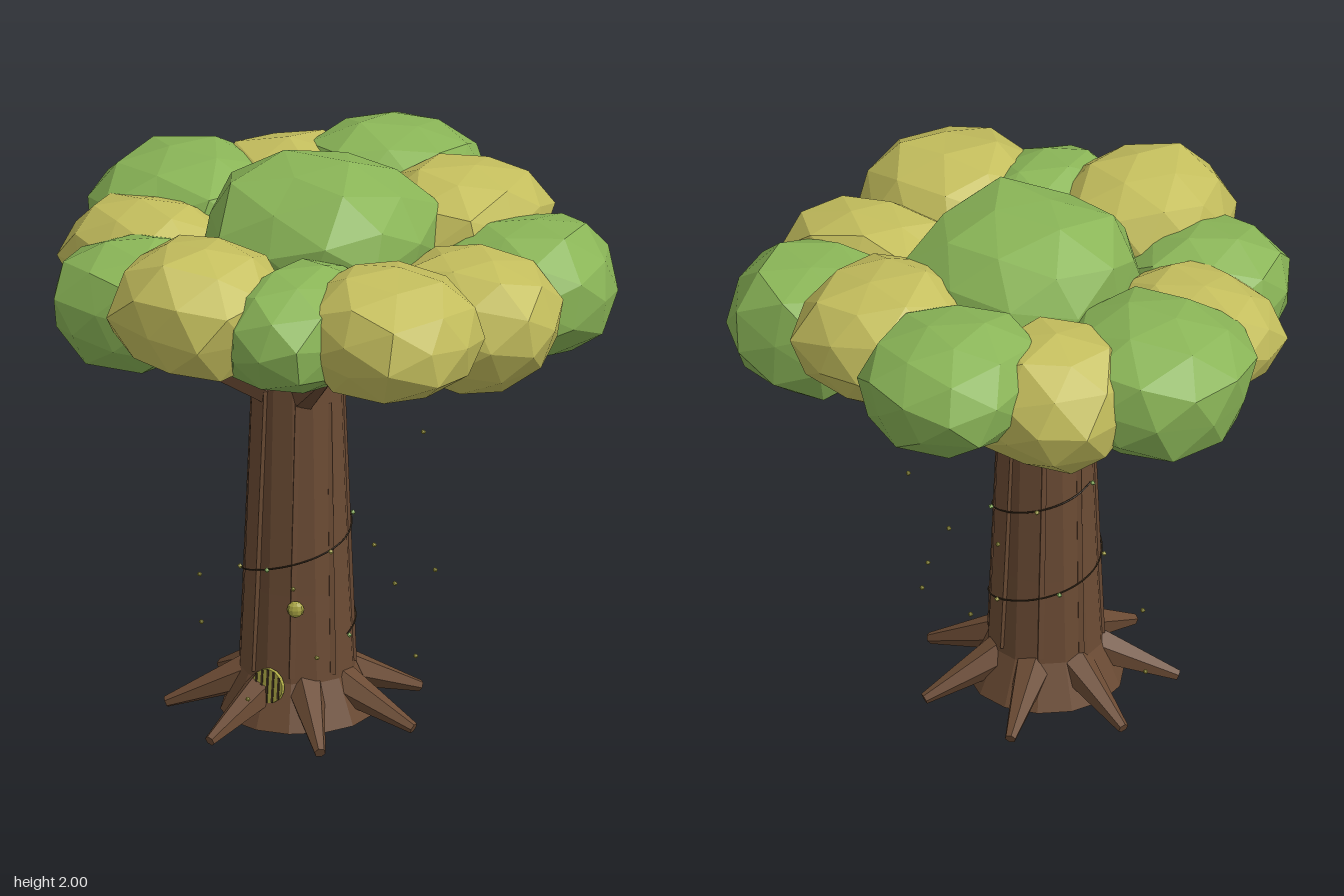
import * as THREE from 'three';

const mat = (name, color) => {
  const m = new THREE.MeshStandardMaterial({ color, flatShading: true });
  m.name = name;
  return m;
};

export function createModel() {
  const bark = mat('bark', 0x6b4b34);
  const vineMat = mat('vine', 0x40311f);
  const green = mat('greenLeaves', 0x8ab557);
  const yellow = mat('yellowLeaves', 0xc4be5d);
  const spot = mat('glowOlive', 0xaaa644);

  const tree = new THREE.Group();
  tree.name = 'tree';
  const V = (x, y, z) => new THREE.Vector3(x, y, z);
  const CX = 0.015, CZ = 0.17; // trunk axis
  const polar = (a, r, y) => V(CX + Math.cos(a) * r, y, CZ + Math.sin(a) * r);

  const add = (name, geometry, material, position) => {
    const mesh = new THREE.Mesh(geometry, material);
    mesh.name = name;
    if (position) mesh.position.copy(position);
    tree.add(mesh);
    return mesh;
  };

  // Tapered limb between two points
  const limb = (name, a, b, ra, rb, sides = 6) => {
    const dir = b.clone().sub(a);
    const mesh = add(name, new THREE.CylinderGeometry(rb, ra, dir.length(), sides), bark,
      a.clone().add(b).multiplyScalar(0.5));
    mesh.quaternion.setFromUnitVectors(V(0, 1, 0), dir.normalize());
  };

  // Trunk with flared foot
  const profile = [[0, 0.02], [0.272, 0.02], [0.203, 0.18], [0.187, 0.5], [0.157, 1.335], [0, 1.335]]
    .map(([r, y]) => new THREE.Vector2(r, y));
  add('trunk', new THREE.LatheGeometry(profile, 14), bark, V(CX, 0, CZ));

  // Raised bark ridges along the trunk
  for (let i = 0; i < 8; i++) {
    const a = (i + 0.3) * Math.PI / 4;
    limb('barkRidge', polar(a + 0.1, 0.194, 0.2), polar(a, 0.155, 1.2 + 0.04 * (i % 3)), 0.014, 0.011, 4);
  }

  // Roots
  for (let i = 0; i < 7; i++) {
    const a = i * Math.PI * 2 / 7 - 0.06;
    limb('root', polar(a, 0.13, 0.16), polar(a, 0.46, 0.024), 0.075, 0.02);
  }

  // Branches reaching into the crown: angle in degrees, end height
  [[-25, 1.51], [47, 1.46], [119, 1.47], [191, 1.41], [263, 1.5]].forEach(([deg, y]) => {
    const a = deg * Math.PI / 180;
    limb('branch', polar(a, 0.07, 1.2), polar(a, 0.54, y), 0.058, 0.024);
  });

  // Vine winding up the trunk
  const vinePoint = t => polar(-t * Math.PI * 3, 0.202 - 0.02 * t, 0.33 + 0.53 * t);
  const vinePath = Array.from({ length: 37 }, (_, i) => vinePoint(i / 36));
  add('vine', new THREE.TubeGeometry(new THREE.CatmullRomCurve3(vinePath), 90, 0.003, 5), vineMat);
  for (let i = 0; i <= 8; i++) {
    const p = vinePoint(i / 8);
    p.x += (p.x - CX) * 0.05;
    p.z += (p.z - CZ) * 0.05;
    add('vineLeaf', new THREE.OctahedronGeometry(0.011), i % 2 ? spot : green, p);
  }

  // Small floating lights
  [[-0.53, 0.32, -0.05], [-0.3, 0.31, 0.3], [0.22, 0.31, 0.37], [0.5, 0.31, 0.17], [0.37, 0.53, 0.1],
    [0.3, 0.68, 0.65], [0.58, 0.65, 0.17], [0.03, 0.78, -0.62], [0, 0.73, -0.17], [0.05, 0.48, -0.27],
    [0.05, 0.18, 0.55]].forEach(p =>
    add('firefly', new THREE.IcosahedronGeometry(0.009), spot, V(...p)));

  // Round knot on the front
  const knot = add('knot', new THREE.SphereGeometry(0.03, 10, 6), spot, V(0.115, 0.46, 0.343));
  knot.scale.z = 0.65;
  knot.rotation.y = 0.5;

  // Striped hollow near the foot
  const hollow = new THREE.Group();
  hollow.name = 'stripedHollow';
  hollow.position.set(0.03, 0.17, 0.385);
  const disc = new THREE.Mesh(new THREE.CylinderGeometry(0.062, 0.062, 0.016, 14), spot);
  disc.name = 'hollowDisc';
  disc.rotation.x = Math.PI / 2;
  hollow.add(disc);
  for (let i = -2; i <= 2; i++) {
    const x = i * 0.023;
    const h = 2 * Math.sqrt(0.06 ** 2 - x * x);
    const stripe = new THREE.Mesh(new THREE.BoxGeometry(0.008, h, 0.006), vineMat);
    stripe.name = 'hollowStripe';
    stripe.position.set(x, 0, 0.008);
    hollow.add(stripe);
  }
  hollow.rotation.x = -0.1;
  tree.add(hollow);

  // Faceted leaf clump: slightly boxy, vertices pushed in or out by a position hash
  const clump = (seed, rx, ry, rz) => {
    const g = new THREE.IcosahedronGeometry(1, 1);
    g.rotateY(seed * 1.7);
    g.rotateX(seed * 0.9);
    const p = g.attributes.position, v = V(0, 0, 0);
    for (let i = 0; i < p.count; i++) {
      v.fromBufferAttribute(p, i);
      const [a, b, c] = [v.x, v.y, v.z].map(n => Math.round(n * 100));
      const h = Math.sin(a * 12.9898 + b * 78.233 + c * 37.719 + seed * 11.3) * 43758.5453;
      const box = (Math.abs(v.x) ** 2.5 + Math.abs(v.y) ** 2.5 + Math.abs(v.z) ** 2.5) ** (-1 / 2.5);
      v.multiplyScalar(box * (0.93 + 0.12 * (h - Math.floor(h))));
      p.setXYZ(i, v.x * rx, v.y * ry, v.z * rz);
    }
    g.computeVertexNormals();
    return g;
  };

  // Crown: centre x, y, z, then radii x, y, z
  const crown = [
    ['green', 0.01, 1.74, 0.01, 0.39, 0.26, 0.39],
    ['green', -0.11, 1.69, -0.64, 0.31, 0.22, 0.32],
    ['green', -0.63, 1.62, -0.15, 0.34, 0.24, 0.35],
    ['green', 0.63, 1.55, -0.35, 0.31, 0.24, 0.31],
    ['green', -0.42, 1.555, 0.52, 0.3, 0.22, 0.29],
    ['green', 0.27, 1.62, 0.54, 0.24, 0.21, 0.33],
    ['yellow', -0.4, 1.61, -0.43, 0.29, 0.24, 0.29],
    ['yellow', 0.27, 1.67, -0.47, 0.3, 0.22, 0.33],
    ['yellow', -0.57, 1.6, 0.22, 0.31, 0.19, 0.25],
    ['yellow', -0.085, 1.655, 0.65, 0.3, 0.24, 0.31],
    ['yellow', 0.63, 1.55, 0.02, 0.33, 0.24, 0.25],
    ['yellow', 0.57, 1.63, 0.44, 0.31, 0.22, 0.31],
  ];
  crown.forEach(([tone, x, y, z, rx, ry, rz], i) =>
    add(tone + 'LeafClump', clump(i + 1, rx, ry, rz), tone === 'green' ? green : yellow, V(x, y, z)));

  return tree;
}
